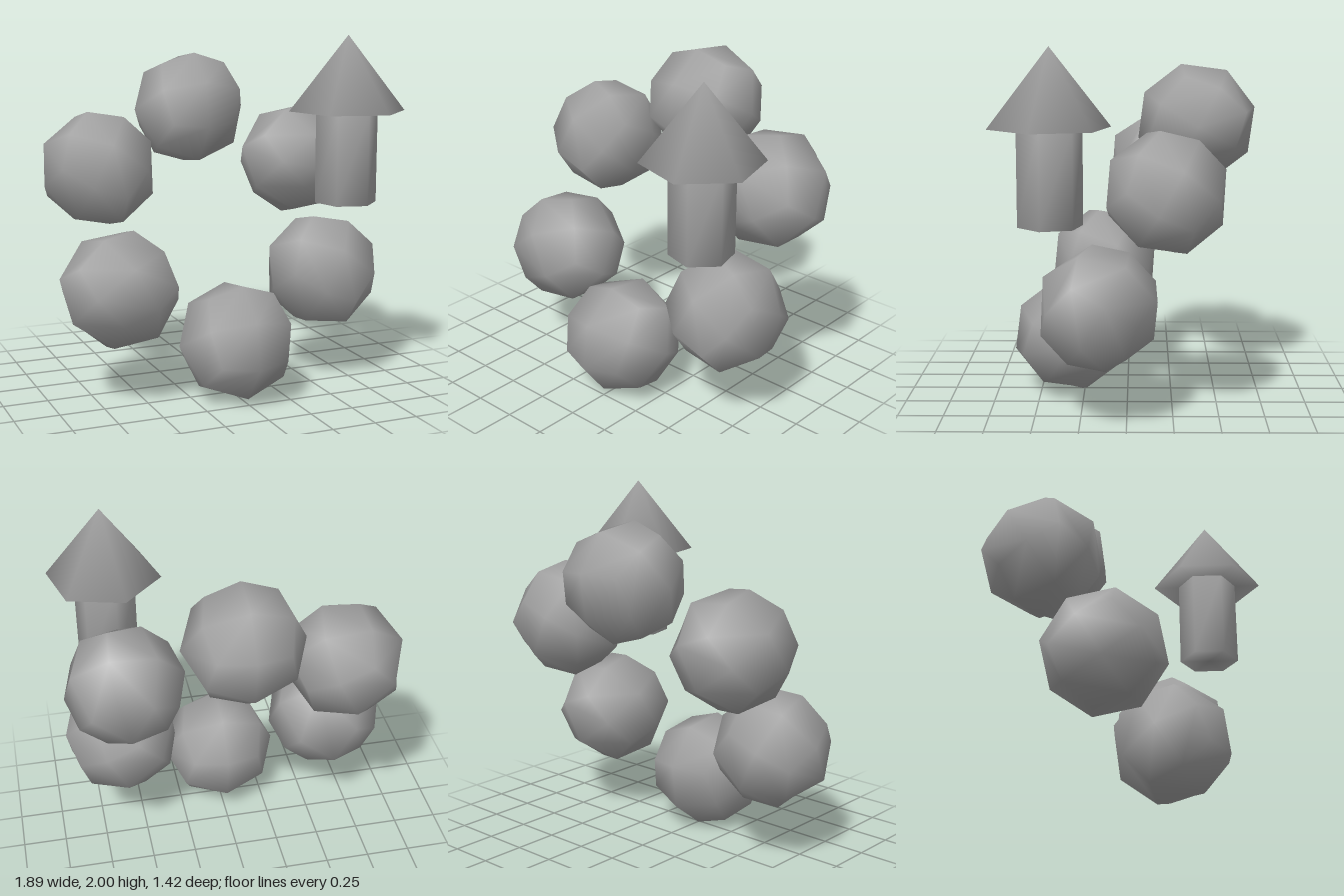
import * as THREE from 'three';
import { mergeVertices } from 'three/addons/utils/BufferGeometryUtils.js';

// Weld shared corners so the shading runs smoothly over every edge
function weld(geometry) {
  geometry.deleteAttribute('uv');
  geometry.deleteAttribute('normal');
  const welded = mergeVertices(geometry, 1e-4);
  welded.computeVertexNormals();
  return welded;
}

// A cube with each side cut in four, its corners pushed out to a sphere
function cubeSphere(radius) {
  const geometry = new THREE.BoxGeometry(1, 1, 1, 2, 2, 2);
  const pos = geometry.attributes.position;
  const v = new THREE.Vector3();
  for (let i = 0; i < pos.count; i++) {
    v.fromBufferAttribute(pos, i).setLength(radius);
    pos.setXYZ(i, v.x, v.y, v.z);
  }
  return weld(geometry);
}

export function createModel() {
  const model = new THREE.Group();
  const grey = new THREE.MeshStandardMaterial({ color: 0xa0a0a0 });
  grey.name = 'grey';

  // Ring of six balls, leaning back by 30 degrees
  const ring = new THREE.Group();
  ring.name = 'ballRing';
  ring.position.set(-0.005, 0.942, -0.03);
  ring.rotation.x = -Math.PI / 6;
  const ballGeometry = cubeSphere(0.337);
  for (let i = 0; i < 6; i++) {
    const angle = (i * Math.PI) / 3;
    const ball = new THREE.Mesh(ballGeometry, grey);
    ball.name = `ball${i + 1}`;
    ball.position.set(-0.71 * Math.sin(angle), 0.71 * Math.cos(angle), 0);
    ball.rotation.z = angle;
    ring.add(ball);
  }
  model.add(ring);

  // Six-sided upright arrow in front of the ring
  const arrow = new THREE.Group();
  arrow.name = 'arrow';
  arrow.position.set(0.628, 0, 0.395);
  arrow.rotation.y = Math.PI / 12;

  const head = new THREE.Mesh(weld(new THREE.ConeGeometry(0.326, 0.415, 6)), grey);
  head.name = 'arrowHead';
  head.position.y = 1.7925;

  const shaft = new THREE.Mesh(weld(new THREE.CylinderGeometry(0.174, 0.174, 0.51, 6)), grey);
  shaft.name = 'arrowShaft';
  shaft.position.y = 1.33;

  arrow.add(head, shaft);
  model.add(arrow);
  return model;
}
